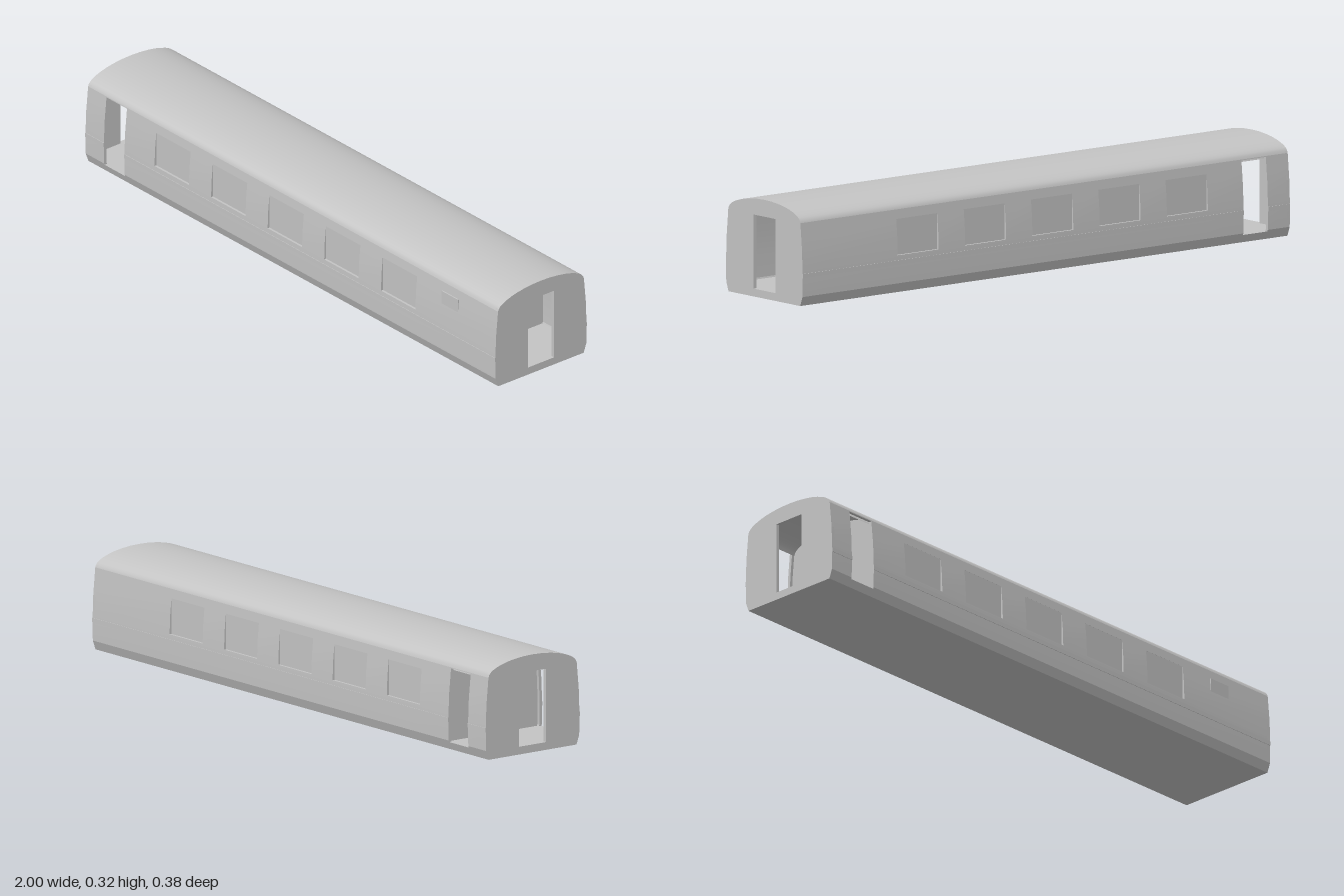
import * as THREE from 'three';
import { toCreasedNormals } from 'three/addons/utils/BufferGeometryUtils.js';

const paint = new THREE.MeshStandardMaterial({ color: 0xc4c4c4, side: THREE.DoubleSide });
paint.name = 'coach grey';

// Half cross-section as [half width, height]: side wall, then roof
const SIDE = [[0.176, 0], [0.187, 0.03], [0.188, 0.1], [0.185, 0.18], [0.177, 0.265]];
const ROOF = [[0.177, 0.265], [0.174, 0.273], [0.168, 0.28], [0.158, 0.287], [0.143, 0.294],
  [0.122, 0.301], [0.098, 0.307], [0.07, 0.3115], [0.036, 0.315], [0, 0.316]];
const SKIN = 0.01, FLOOR = 0.025;
const DOOR = { x0: -0.91, x1: -0.81, y0: FLOOR, y1: 0.262 };
const WINDOWS = [-0.58, -0.304, -0.028, 0.248, 0.525].map(
  x => ({ x0: x - 0.084, x1: x + 0.084, y0: 0.12, y1: 0.235 }));
const PANE_Z = 0.1795;

// Half width of the side wall at height y
function wallZ(y) {
  const i = Math.max(1, SIDE.findIndex(p => p[1] >= y));
  const [z0, y0] = SIDE[i - 1], [z1, y1] = SIDE[i];
  return z0 + (z1 - z0) * (y - y0) / (y1 - y0);
}

// Mesh from a list of four-corner faces
function quads(name, faces, crease = 0.2) {
  const pos = faces.flatMap(([a, b, c, d]) => [a, b, c, a, c, d].flat());
  const g = new THREE.BufferGeometry();
  g.setAttribute('position', new THREE.Float32BufferAttribute(pos, 3));
  return mesh(name, toCreasedNormals(g, crease));
}

function mesh(name, geometry) {
  const m = new THREE.Mesh(geometry, paint);
  m.name = name;
  return m;
}

// Side sheet divided into cells, leaving out the openings
function sideSheet(name, s, inset, holes) {
  const sorted = a => [...new Set(a)].sort((p, q) => p - q);
  const xs = sorted([-1, 1, ...holes.flatMap(h => [h.x0, h.x1])]);
  const ys = sorted([...SIDE.map(p => p[1]), ...holes.flatMap(h => [h.y0, h.y1])]);
  const faces = [];
  for (let i = 0; i + 1 < xs.length; i++) for (let j = 0; j + 1 < ys.length; j++) {
    const cx = (xs[i] + xs[i + 1]) / 2, cy = (ys[j] + ys[j + 1]) / 2;
    if (holes.some(h => cx > h.x0 && cx < h.x1 && cy > h.y0 && cy < h.y1)) continue;
    const p = (x, y) => [x, y, s * (wallZ(y) - inset)];
    const f = [p(xs[i], ys[j]), p(xs[i + 1], ys[j]), p(xs[i + 1], ys[j + 1]), p(xs[i], ys[j + 1])];
    faces.push(s > 0 ? f : f.reverse());
  }
  return quads(name, faces);
}

// Faces lining an opening from the outer skin to depth inner(y)
function reveal(name, s, h, inner) {
  const ys = [h.y0, ...SIDE.map(p => p[1]).filter(y => y > h.y0 && y < h.y1), h.y1];
  const o = (x, y) => [x, y, s * wallZ(y)], n = (x, y) => [x, y, s * inner(y)];
  const faces = [];
  for (const [x, flip] of [[h.x0, s < 0], [h.x1, s > 0]])
    for (let j = 0; j + 1 < ys.length; j++) {
      const f = [o(x, ys[j]), n(x, ys[j]), n(x, ys[j + 1]), o(x, ys[j + 1])];
      faces.push(flip ? f.reverse() : f);
    }
  for (const y of [h.y0, h.y1]) faces.push([o(h.x0, y), o(h.x1, y), n(h.x1, y), n(h.x0, y)]);
  return quads(name, faces);
}

// Arched roof sheet along the whole length
function roofSheet(name, inset) {
  const half = ROOF.map(([z, y]) => [z * (1 - inset / 0.18), y - inset]);
  const arc = [...half, ...half.slice(0, -1).reverse().map(([z, y]) => [-z, y])];
  const faces = [];
  for (let i = 0; i + 1 < arc.length; i++) {
    const [a, b] = [arc[i], arc[i + 1]];
    faces.push([[-1, a[1], a[0]], [1, a[1], a[0]], [1, b[1], b[0]], [-1, b[1], b[0]]]);
  }
  return quads(name, faces, 0.6);
}

// Cross wall with a doorway, filling the body section
function crossWall(name, x, thickness, doorHalf, inset = 0) {
  const half = [...SIDE, ...ROOF.slice(1)].map(([z, y]) => [z - Math.min(z, inset), Math.max(0.003, y - inset)]);
  if (!inset) half[0][1] = 0;
  const outline = [...half, ...half.slice(0, -1).reverse().map(([z, y]) => [-z, y])];
  const shape = new THREE.Shape(outline.map(([z, y]) => new THREE.Vector2(z, y)));
  shape.holes.push(new THREE.Path([[-1, FLOOR], [-1, 0.262], [1, 0.262], [1, FLOOR]]
    .map(([k, y]) => new THREE.Vector2(k * doorHalf, y))));
  const g = new THREE.ExtrudeGeometry(shape, { depth: thickness, bevelEnabled: false });
  g.rotateY(Math.PI / 2).translate(x, 0, 0);
  return mesh(name, g);
}

function box(name, x0, x1, y0, y1, z0, z1) {
  return mesh(name, new THREE.BoxGeometry(x1 - x0, y1 - y0, Math.abs(z1 - z0))
    .translate((x0 + x1) / 2, (y0 + y1) / 2, (z0 + z1) / 2));
}

export function createModel() {
  const coach = new THREE.Group();
  coach.name = 'railwayCoach';

  // Both long sides with doorways, recessed windows and waist moulding
  for (const s of [1, -1]) {
    const side = new THREE.Group();
    side.name = s > 0 ? 'frontSide' : 'backSide';
    side.add(sideSheet('outerSkin', s, 0, [DOOR, ...WINDOWS]));
    side.add(sideSheet('innerLining', s, SKIN, [DOOR]));
    side.add(reveal('doorReveal', s, DOOR, y => wallZ(y) - SKIN));
    for (const w of WINDOWS) {
      side.add(reveal('windowReveal', s, w, () => PANE_Z));
      const p = [[w.x0, w.y0], [w.x1, w.y0], [w.x1, w.y1], [w.x0, w.y1]].map(([x, y]) => [x, y, s * PANE_Z]);
      side.add(quads('windowPane', [s > 0 ? p : p.reverse()]));
    }
    for (const [x0, x1] of [[-1, DOOR.x0], [DOOR.x1, 1]])
      side.add(box('waistMoulding', x0, x1, 0.09, 0.104, s * 0.186, s * 0.1895));
    coach.add(side);
  }

  // Small raised window on the front side only
  coach.add(box('smallWindow', 0.733, 0.813, 0.18, 0.235, 0.176, 0.184));

  // Roof and ceiling
  coach.add(roofSheet('roof', 0), roofSheet('ceiling', SKIN));

  // Solid floor with its flat underside
  const floorShape = new THREE.Shape([[0.176, 0], [0.177, FLOOR], [-0.177, FLOOR], [-0.176, 0]]
    .map(([z, y]) => new THREE.Vector2(z, y)));
  coach.add(mesh('floor', new THREE.ExtrudeGeometry(floorShape, { depth: 1.99, bevelEnabled: false })
    .rotateY(Math.PI / 2).translate(-0.995, 0, 0)));

  // End walls and the narrower vestibule partitions
  for (const s of [-1, 1]) {
    coach.add(crossWall('endWall', s > 0 ? 0.988 : -1, 0.012, 0.054));
    coach.add(crossWall('partition', s > 0 ? 0.79 : -0.8, 0.01, 0.041, 0.008));
  }
  return coach;
}
